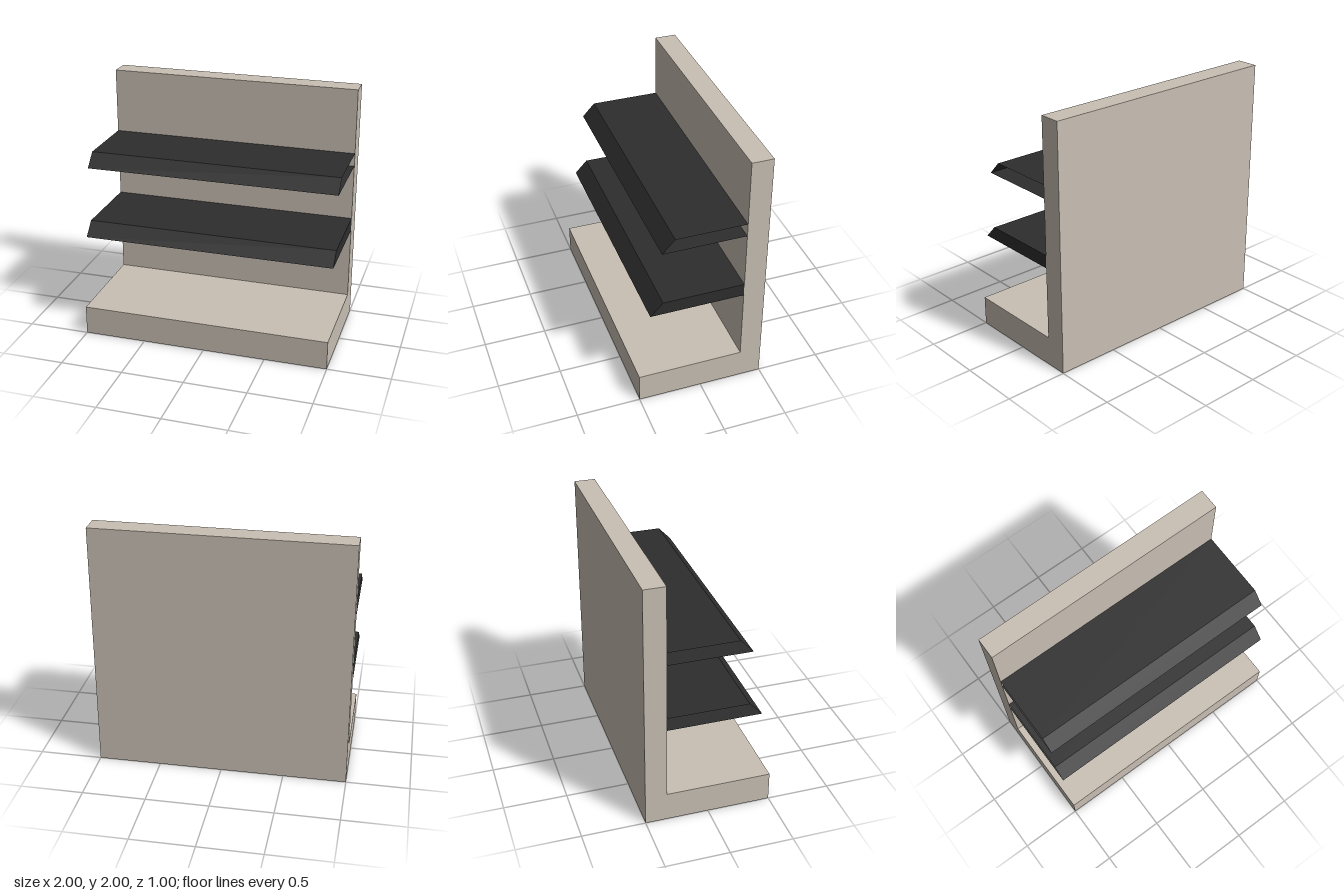
import * as THREE from 'three';

const WALL_FRONT = -0.33;

// Shape from [z, y] points; drawn with local x = -z so it can be turned to face +x
function sideShape(points) {
  return new THREE.Shape(points.map(([z, y]) => new THREE.Vector2(-z, y)));
}

// Full-width flat panel between two [z, y] points
function panelGeometry([z0, y0], [z1, y1]) {
  const geometry = new THREE.BufferGeometry();
  geometry.setAttribute('position', new THREE.Float32BufferAttribute(
    [-1, y0, z0, 1, y0, z0, 1, y1, z1, -1, y1, z1], 3));
  geometry.setIndex([0, 1, 2, 0, 2, 3]);
  geometry.computeVertexNormals();
  return geometry;
}

export function createModel() {
  const model = new THREE.Group();
  model.name = 'shelfUnit';

  const beige = new THREE.MeshStandardMaterial({ color: 0xc9c0b4 });
  beige.name = 'beige';
  const charcoal = new THREE.MeshStandardMaterial({ color: 0x2d2d2d, side: THREE.DoubleSide });
  charcoal.name = 'charcoal';

  function add(parent, name, geometry, material) {
    const mesh = new THREE.Mesh(geometry, material);
    mesh.name = name;
    parent.add(mesh);
  }

  // L-shaped back wall and base
  const frame = new THREE.ExtrudeGeometry(sideShape([
    [-0.5, 0], [-0.5, 2], [WALL_FRONT, 2], [WALL_FRONT, 0.235], [0.5, 0.235], [0.5, 0],
  ]), { depth: 2, bevelEnabled: false });
  frame.rotateY(Math.PI / 2).translate(-1, 0, 0);
  add(model, 'backWallAndBase', frame, beige);

  // Hollow shelf of thin panels with a sloping front lip
  function addShelf(name, bottom, top, zTop, zBottom, closedEnd) {
    const shelf = new THREE.Group();
    shelf.name = name;
    const backLow = [WALL_FRONT, bottom], frontLow = [zBottom, bottom];
    const frontHigh = [zTop, top], backHigh = [WALL_FRONT, top];
    add(shelf, 'shelfUnderside', panelGeometry(backLow, frontLow), charcoal);
    add(shelf, 'shelfLip', panelGeometry(frontLow, frontHigh), charcoal);
    add(shelf, 'shelfTop', panelGeometry(frontHigh, backHigh), charcoal);
    if (closedEnd) {
      const cap = new THREE.ShapeGeometry(sideShape([backLow, backHigh, frontHigh, frontLow]));
      cap.rotateY(Math.PI / 2).translate(1, 0, 0);
      add(shelf, 'shelfEndCap', cap, charcoal);
    }
    model.add(shelf);
  }
  addShelf('lowerShelf', 0.82, 0.925, 0.31, 0.41, true);
  addShelf('upperShelf', 1.375, 1.48, 0.22, 0.32, false);

  return model;
}
